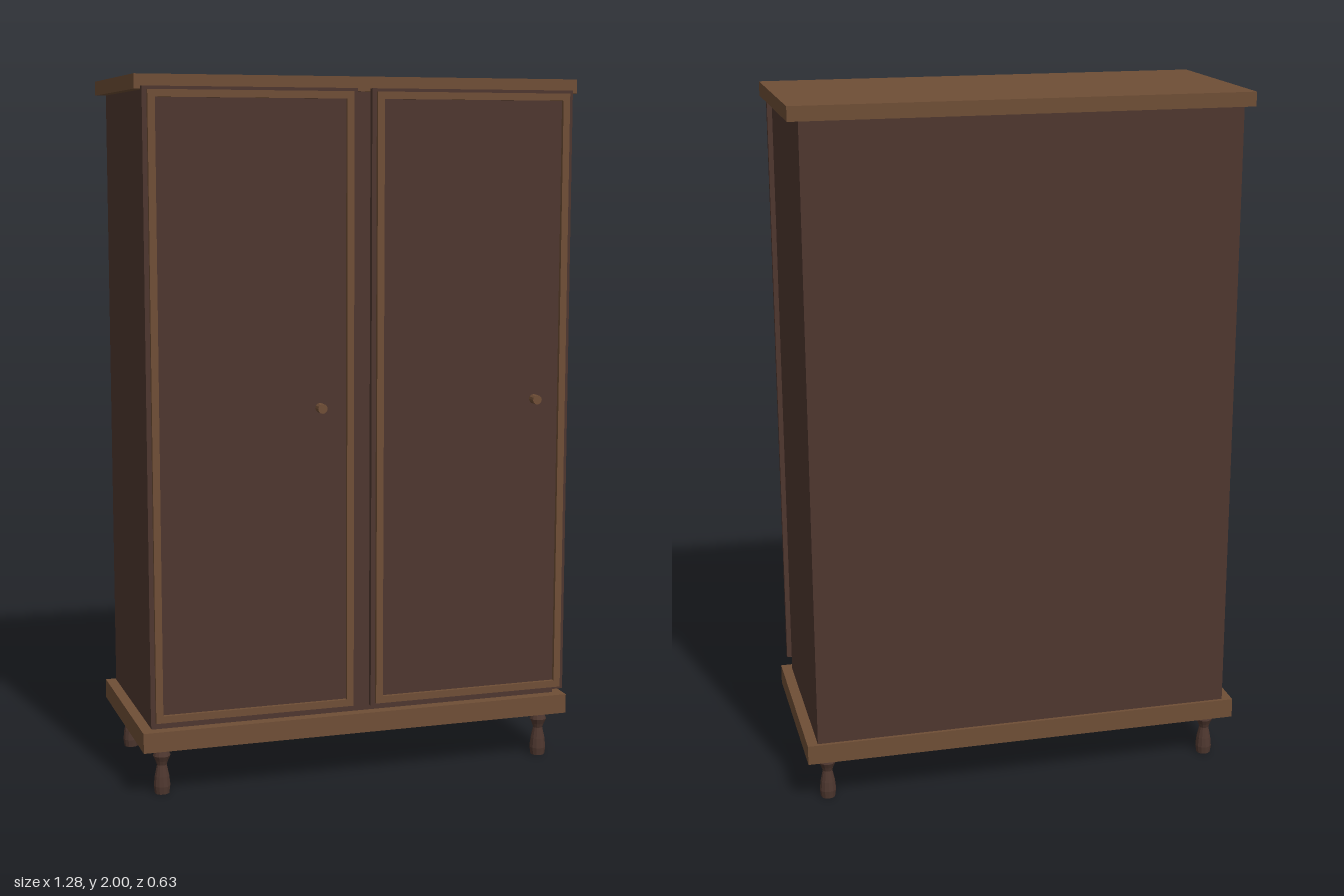
import * as THREE from 'three';

export function createModel() {
  const cabinet = new THREE.Group();
  cabinet.name = 'cabinet';

  const darkWood = new THREE.MeshStandardMaterial({ color: 0x4e372f });
  darkWood.name = 'dark wood';
  const lightWood = new THREE.MeshStandardMaterial({ color: 0x6f4e36 });
  lightWood.name = 'light wood';

  function add(parent, name, geometry, material, x = 0, y = 0, z = 0) {
    const mesh = new THREE.Mesh(geometry, material);
    mesh.name = name;
    mesh.position.set(x, y, z);
    parent.add(mesh);
    return mesh;
  }

  // Box given by its lower and upper corners
  function box(parent, name, material, [x0, y0, z0], [x1, y1, z1]) {
    return add(parent, name, new THREE.BoxGeometry(x1 - x0, y1 - y0, z1 - z0), material,
      (x0 + x1) / 2, (y0 + y1) / 2, (z0 + z1) / 2);
  }

  // Carcass between the base and top boards
  box(cabinet, 'body', darkWood, [-0.61, 0.195, -0.308], [0.61, 1.96, 0.22]);
  box(cabinet, 'topBoard', lightWood, [-0.64, 1.96, -0.318], [0.64, 2, 0.253]);
  box(cabinet, 'baseBoard', lightWood, [-0.64, 0.138, -0.318], [0.64, 0.195, 0.253]);

  // Raised rectangular moulding, outer size w by h
  function frameGeometry(w, h, border, depth) {
    const rect = (target, a, b) => target
      .moveTo(-a, -b).lineTo(a, -b).lineTo(a, b).lineTo(-a, b).closePath();
    const shape = rect(new THREE.Shape(), w / 2, h / 2);
    shape.holes.push(rect(new THREE.Path(), w / 2 - border, h / 2 - border));
    return new THREE.ExtrudeGeometry(shape, { depth, bevelEnabled: false });
  }

  // Turned knob: narrow stem and wider head
  const knobProfile = [[0.009, 0], [0.009, 0.007], [0.0135, 0.012], [0.0135, 0.04], [0, 0.04]]
    .map(([r, y]) => new THREE.Vector2(r, y));
  const knobGeometry = new THREE.LatheGeometry(knobProfile, 12).toNonIndexed();
  knobGeometry.computeVertexNormals();
  knobGeometry.rotateX(Math.PI / 2);

  // Two doors of the same hand, standing just proud of the body
  for (const [name, x] of [['rightDoor', -0.322], ['leftDoor', 0.32]]) {
    const door = new THREE.Group();
    door.name = name;
    door.position.set(x, 1.094, 0);
    cabinet.add(door);
    box(door, 'doorPanel', darkWood, [-0.3, -0.874, 0.253], [0.3, 0.874, 0.269]);
    add(door, 'doorFrame', frameGeometry(0.574, 1.73, 0.02, 0.012), lightWood, 0, 0, 0.268);
    add(door, 'knob', knobGeometry, lightWood, 0.185, 0, 0.276);
  }

  // Turned legs
  const legProfile = [[0, 0], [0.021, 0], [0.024, 0.022], [0.021, 0.05], [0.014, 0.083],
    [0.018, 0.095], [0.025, 0.11], [0.019, 0.128], [0.018, 0.14]]
    .map(([r, y]) => new THREE.Vector2(r, y));
  const legGeometry = new THREE.LatheGeometry(legProfile, 12).toNonIndexed();
  legGeometry.computeVertexNormals();
  for (const x of [-0.577, 0.577]) {
    for (const z of [-0.253, 0.193]) {
      add(cabinet, 'leg', legGeometry, darkWood, x, 0, z);
    }
  }

  return cabinet;
}
